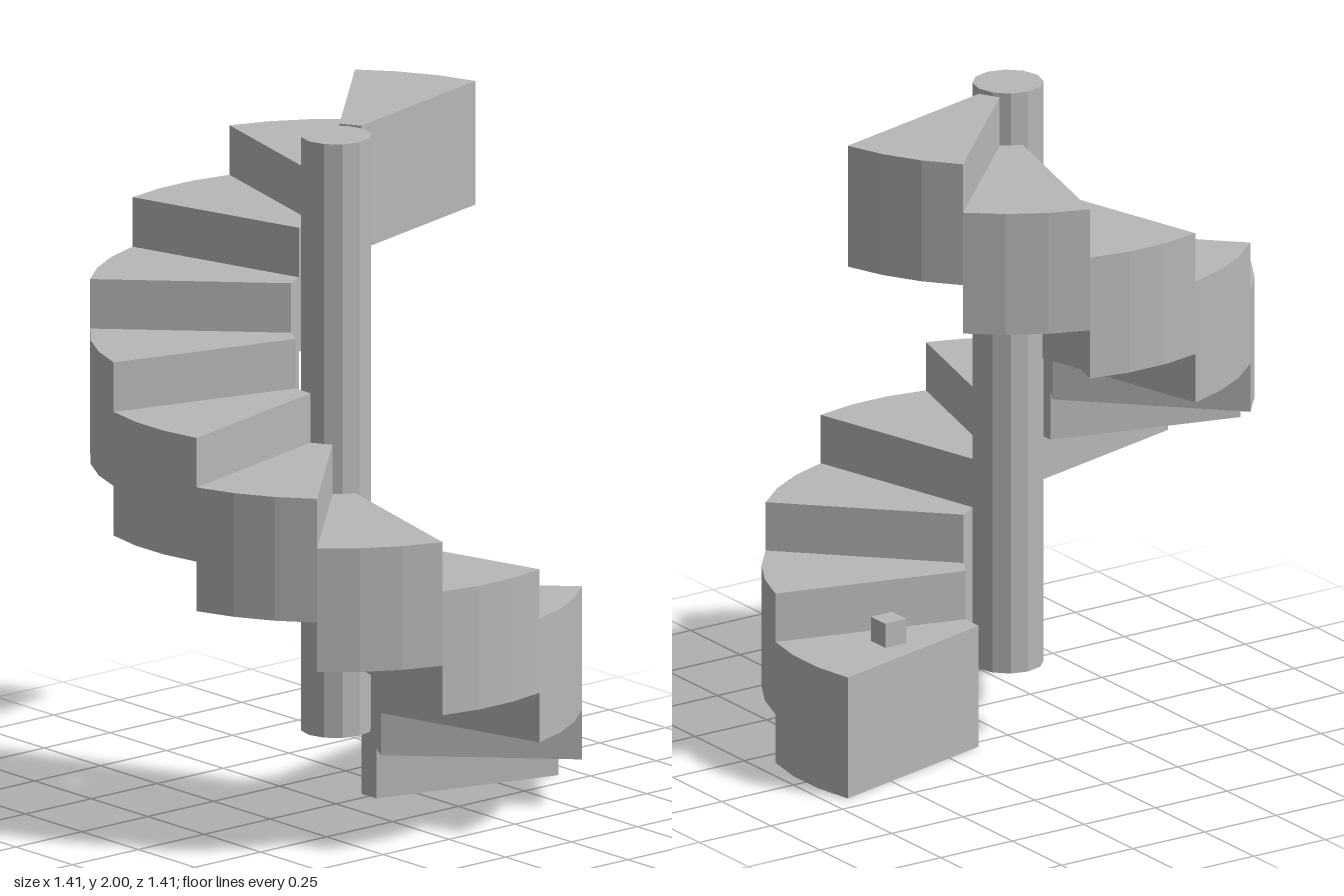
import * as THREE from 'three';

const STEPS = 12;
const RISE = 0.148;
const STEP_HEIGHT = 0.37;
const INNER = 0.13;
const OUTER = 0.71;
const SWEEP = (Math.PI * 2) / STEPS;
const ARC_SEGMENTS = 3;

// Solid wedge: three facets on the rim, one on the inside
function wedgeGeometry() {
  const shape = new THREE.Shape();
  const point = (r, a) => [r * Math.sin(a), r * Math.cos(a)];
  shape.moveTo(...point(INNER, -SWEEP / 2));
  shape.lineTo(...point(INNER, SWEEP / 2));
  for (let i = 0; i <= ARC_SEGMENTS; i++) {
    shape.lineTo(...point(OUTER, SWEEP / 2 - (i / ARC_SEGMENTS) * SWEEP));
  }
  shape.closePath();
  const geometry = new THREE.ExtrudeGeometry(shape, { depth: STEP_HEIGHT, bevelEnabled: false });
  geometry.rotateX(-Math.PI / 2); // thickness goes up, wedge points to the back
  return geometry;
}

export function createModel() {
  const model = new THREE.Group();
  model.name = 'spiralStaircase';
  const stone = new THREE.MeshStandardMaterial({ color: 0xb8b8b8, flatShading: true });
  stone.name = 'stone grey';

  // Central column, starting a little above the ground
  const column = new THREE.Mesh(new THREE.CylinderGeometry(0.103, 0.103, 1.775, 12), stone);
  column.name = 'column';
  column.position.y = 2 - 1.775 / 2;
  model.add(column);

  // Steps climb from the back round by +x, the front and -x
  const wedge = wedgeGeometry();
  const steps = new THREE.Group();
  steps.name = 'steps';
  for (let i = 0; i < STEPS; i++) {
    const step = new THREE.Mesh(wedge, stone);
    step.name = `step${i + 1}`;
    step.position.y = i * RISE;
    step.rotation.y = -i * SWEEP;
    steps.add(step);
  }
  model.add(steps);

  // Small block resting on the lowest step
  const block = new THREE.Mesh(new THREE.BoxGeometry(0.074, 0.074, 0.074), stone);
  block.name = 'smallBlock';
  block.position.set(0, STEP_HEIGHT + 0.037, -0.417);
  model.add(block);

  return model;
}
